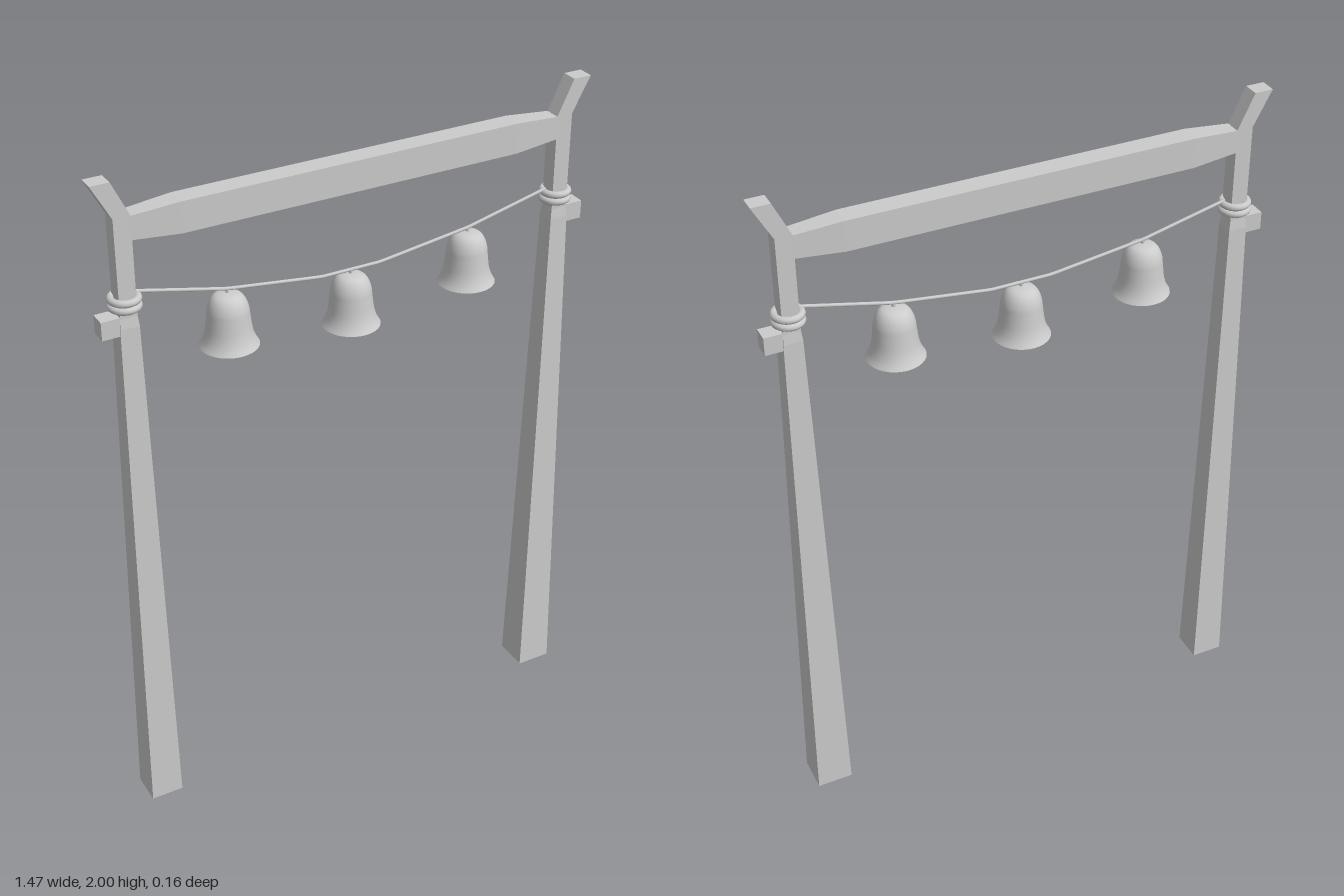
import * as THREE from 'three';

const wood = new THREE.MeshStandardMaterial({ color: 0xcccccc, flatShading: true });
const smooth = new THREE.MeshStandardMaterial({ color: 0xcccccc });

function add(parent, name, geometry, material, x = 0, y = 0, z = 0) {
  const mesh = new THREE.Mesh(geometry, material);
  mesh.name = name;
  mesh.position.set(x, y, z);
  parent.add(mesh);
  return mesh;
}

// Square-section loft along y; stations are [centreX, y, halfX, halfZ]
function loft(stations) {
  const n = stations.length - 1;
  const g = new THREE.BoxGeometry(2, n, 2, 1, n, 1);
  const p = g.attributes.position;
  for (let i = 0; i < p.count; i++) {
    const [cx, y, hx, hz] = stations[Math.round(p.getY(i) + n / 2)];
    p.setXYZ(i, cx + p.getX(i) * hx, y, p.getZ(i) * hz);
  }
  g.computeVertexNormals();
  return g;
}

// Tapered post with an outward horn, peg and two lashing rings
function makePost(side, baseHalf) {
  const post = new THREE.Group();
  post.name = side > 0 ? 'leftPost' : 'rightPost';
  add(post, 'postShaft', loft([
    [side * 0.656, 0, baseHalf, baseHalf],
    [side * 0.658, 1.59, 0.027, 0.027],
    [side * 0.658, 1.62, 0.024, 0.024],
    [side * 0.658, 1.9, 0.024, 0.024],
    [side * 0.709, 2, 0.027, 0.024],
  ]), wood);
  add(post, 'peg', new THREE.BoxGeometry(0.08, 0.053, 0.048), wood, side * 0.695, 1.598, 0);
  for (const y of [1.645, 1.666]) {
    const ring = add(post, 'lashingRing', new THREE.TorusGeometry(0.036, 0.0105, 10, 28), smooth, side * 0.658, y, 0);
    ring.rotation.x = Math.PI / 2;
  }
  return post;
}

// Bell with domed crown, flared lip, closed underside and hanging loop
function makeBell(x, bottom, ropeY) {
  const bell = new THREE.Group();
  bell.name = 'bell';
  const curve = new THREE.SplineCurve([
    [0.082, 0], [0.072, 0.018], [0.064, 0.045], [0.059, 0.085], [0.056, 0.11],
    [0.047, 0.134], [0.031, 0.149], [0, 0.154],
  ].map(([r, y]) => new THREE.Vector2(r, y)));
  const profile = curve.getPoints(24);
  profile.forEach((v) => { v.x = Math.max(v.x, 0); });
  add(bell, 'bellBody', new THREE.LatheGeometry(profile, 32), smooth, x, bottom, 0);
  const under = add(bell, 'bellUnderside', new THREE.CircleGeometry(0.082, 32), smooth, x, bottom, 0);
  under.rotation.x = Math.PI / 2;
  const top = bottom + 0.15;
  add(bell, 'hangingLoop', new THREE.CylinderGeometry(0.005, 0.005, ropeY - top, 8), smooth, x, (ropeY + top) / 2, 0);
  return bell;
}

export function createModel() {
  const gate = new THREE.Group();
  gate.name = 'bellGate';

  gate.add(makePost(-1, 0.048), makePost(1, 0.053));

  // Crossbeam, thinner at both ends
  const beam = add(gate, 'crossbeam', loft([
    [0, -0.638, 0.033, 0.024],
    [0, -0.5, 0.044, 0.031],
    [0, 0.5, 0.044, 0.031],
    [0, 0.638, 0.033, 0.024],
  ]), wood, 0, 1.866, 0);
  beam.rotation.z = Math.PI / 2;

  // Sagging rope in straight runs
  const path = new THREE.CurvePath();
  const points = [[-0.625, 1.677], [-0.37, 1.617], [-0.09, 1.58], [0.09, 1.58], [0.37, 1.617], [0.625, 1.677]]
    .map(([x, y]) => new THREE.Vector3(x, y, 0));
  for (let i = 1; i < points.length; i++) path.add(new THREE.LineCurve3(points[i - 1], points[i]));
  add(gate, 'rope', new THREE.TubeGeometry(path, 60, 0.005, 8), smooth);

  for (const x of [-0.37, 0, 0.37]) gate.add(x ? makeBell(x, 1.453, 1.617) : makeBell(0, 1.416, 1.58));
  return gate;
}
